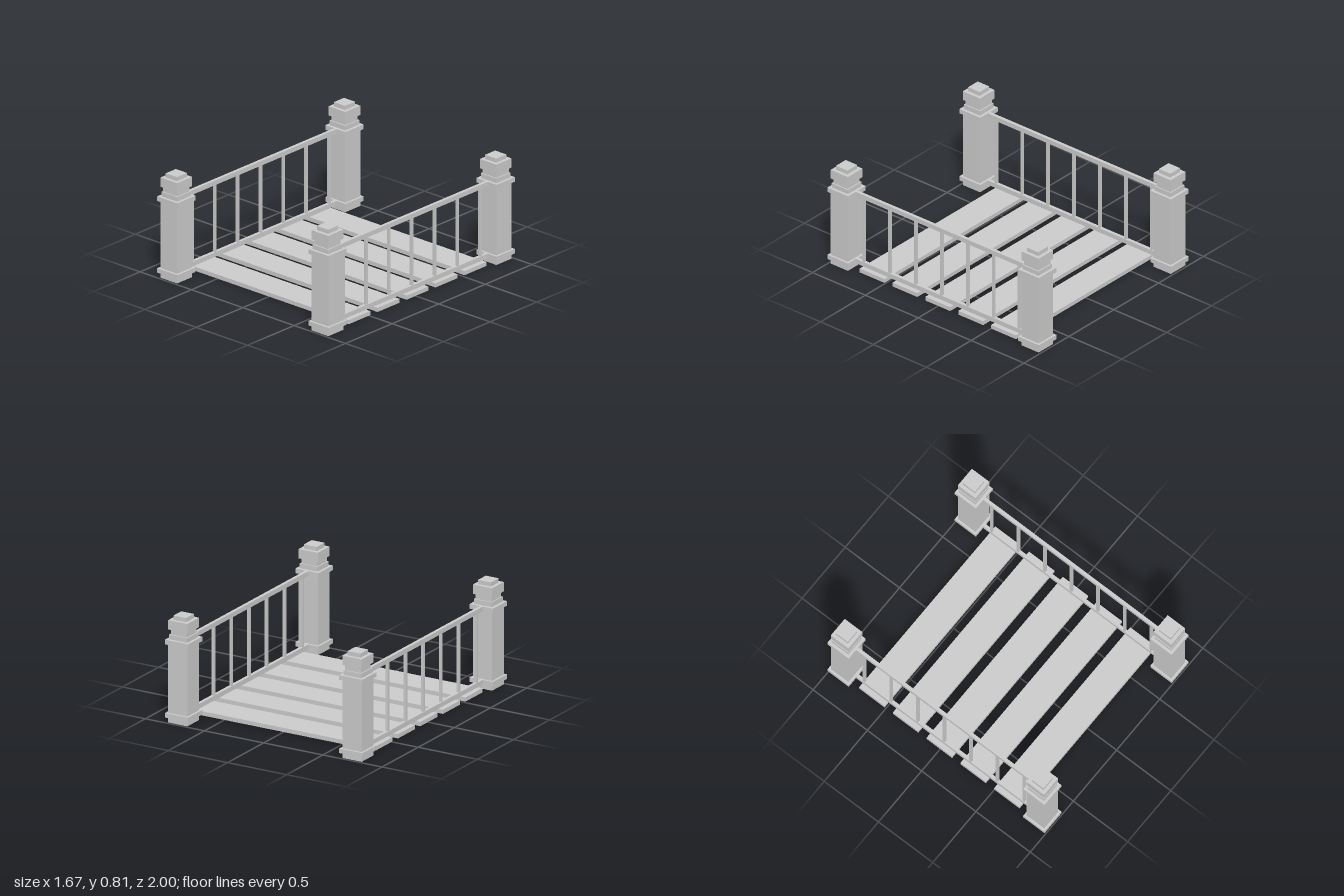
import * as THREE from 'three';

const material = new THREE.MeshStandardMaterial({ color: 0xcccccc, flatShading: true });

const POST_X = 0.736, POST_Z = 0.902;
const RAIL_HEIGHTS = [0.058, 0.618];

function addBox(parent, name, size, position) {
  const mesh = new THREE.Mesh(new THREE.BoxGeometry(...size), material);
  mesh.name = name;
  mesh.position.set(...position);
  parent.add(mesh);
}

// Square post turned from one stepped profile of [half width, height]
function postGeometry() {
  const profile = [
    [0, 0.03], [0.05, 0.03], [0.05, 0],      // recess under the foot
    [0.081, 0], [0.081, 0.04],               // foot
    [0.098, 0.04], [0.098, 0.075],           // lower band
    [0.081, 0.075], [0.081, 0.6],            // shaft
    [0.098, 0.6], [0.098, 0.636],            // upper band
    [0.076, 0.636], [0.076, 0.672],          // collar
    [0.067, 0.672], [0.067, 0.711],          // neck
    [0.081, 0.711], [0.081, 0.783],          // head
    [0.054, 0.783], [0.054, 0.815], [0, 0.815], // cap
  ].map(([half, y]) => new THREE.Vector2(half * Math.SQRT2, y));
  return new THREE.LatheGeometry(profile, 4, Math.PI / 4);
}

export function createModel() {
  const model = new THREE.Group();
  model.name = 'footbridge';

  // Corner posts
  const post = postGeometry();
  for (const sx of [-1, 1]) {
    for (const sz of [-1, 1]) {
      const mesh = new THREE.Mesh(post, material);
      mesh.name = (sz > 0 ? 'front' : 'back') + (sx > 0 ? 'Left' : 'Right') + 'Post';
      mesh.position.set(sx * POST_X, 0, sz * POST_Z);
      model.add(mesh);
    }
  }

  // Railings: two rails joined by slim balusters
  for (const sx of [-1, 1]) {
    const railing = new THREE.Group();
    railing.name = sx > 0 ? 'leftRailing' : 'rightRailing';
    railing.position.x = sx * POST_X;
    for (const y of RAIL_HEIGHTS) {
      addBox(railing, y < 0.3 ? 'bottomRail' : 'topRail', [0.026, 0.036, 1.65], [0, y, 0]);
    }
    for (let i = -3; i <= 3; i++) {
      addBox(railing, 'baluster', [0.02, 0.53, 0.02], [0, 0.338, i * 0.245]);
    }
    model.add(railing);
  }

  // Deck planks
  for (let i = -2; i <= 2; i++) {
    addBox(model, 'plank', [1.576, 0.032, 0.234], [0, 0.024, -0.005 + i * 0.311]);
  }
  return model;
}
